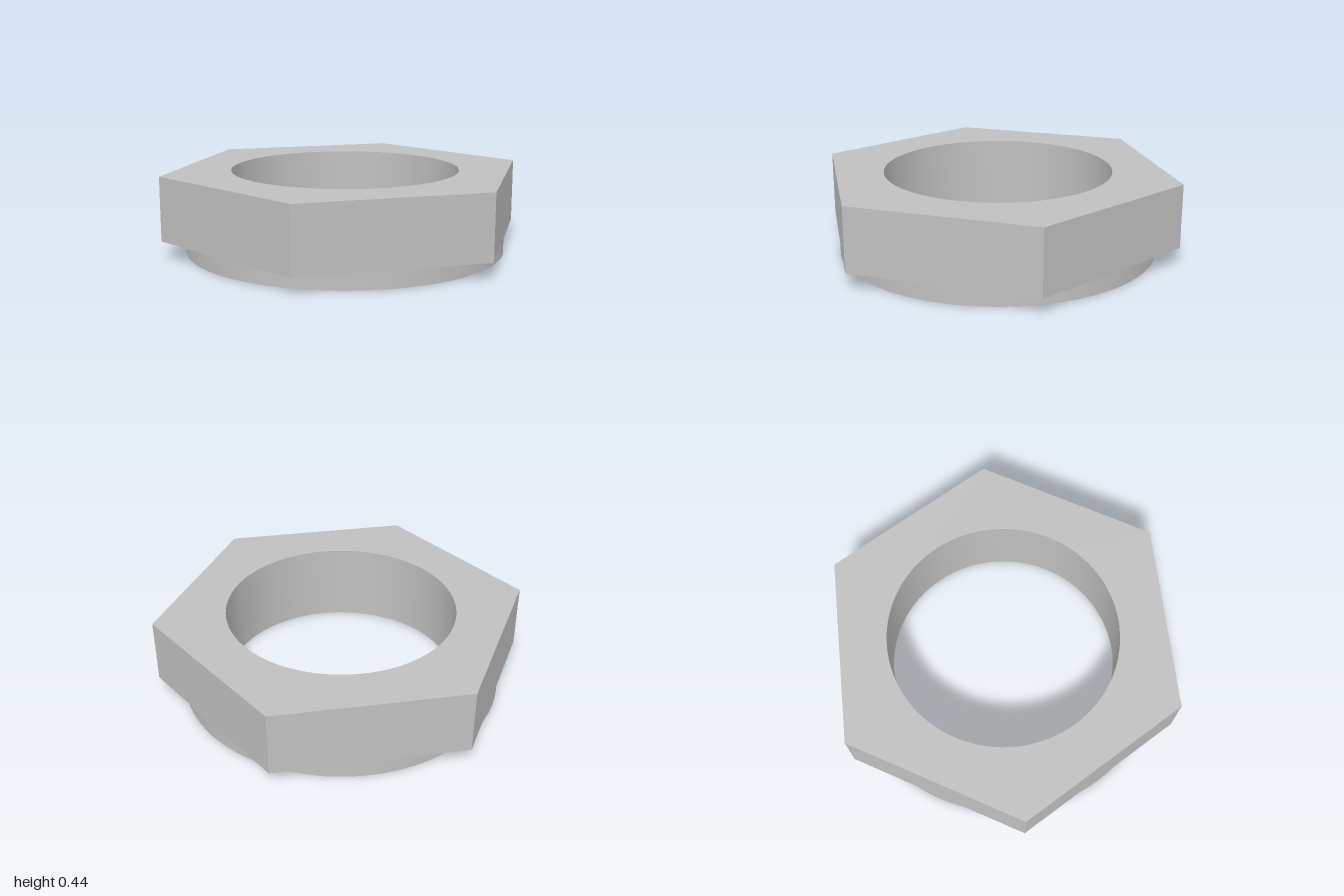
import * as THREE from 'three';
import { toCreasedNormals } from 'three/addons/utils/BufferGeometryUtils.js';

const HEX_BORE = 0.616, COLLAR_BORE = 0.624, COLLAR_RADIUS = 0.864;
const COLLAR_HEIGHT = 0.09, TOTAL_HEIGHT = 0.435;

// Extrude an outline with a round bore upwards between two heights
function boredPlate(name, shape, bore, y0, y1, material) {
  shape.holes.push(new THREE.Path().absarc(0, 0, bore, 0, Math.PI * 2, true));
  const extruded = new THREE.ExtrudeGeometry(shape, {
    depth: y1 - y0, bevelEnabled: false, curveSegments: 48,
  });
  extruded.rotateX(-Math.PI / 2).translate(0, y0, 0);
  const mesh = new THREE.Mesh(toCreasedNormals(extruded, 0.5), material);
  mesh.name = name;
  return mesh;
}

export function createModel() {
  const group = new THREE.Group();
  group.name = 'hexNut';
  const steel = new THREE.MeshStandardMaterial({ color: 0xc0c0c0 });
  steel.name = 'plain steel';

  // Hexagonal body, corners pointing to the front and back
  const corners = Array.from({ length: 6 }, (_, i) => {
    const a = Math.PI / 2 + (i * Math.PI) / 3;
    return new THREE.Vector2(Math.cos(a), Math.sin(a));
  });
  group.add(boredPlate('hexBody', new THREE.Shape(corners), HEX_BORE, COLLAR_HEIGHT, TOTAL_HEIGHT, steel));

  // Round collar below, with a slightly wider bore
  const disc = new THREE.Shape().absarc(0, 0, COLLAR_RADIUS, 0, Math.PI * 2, false);
  group.add(boredPlate('collar', disc, COLLAR_BORE, 0, COLLAR_HEIGHT, steel));

  return group;
}
